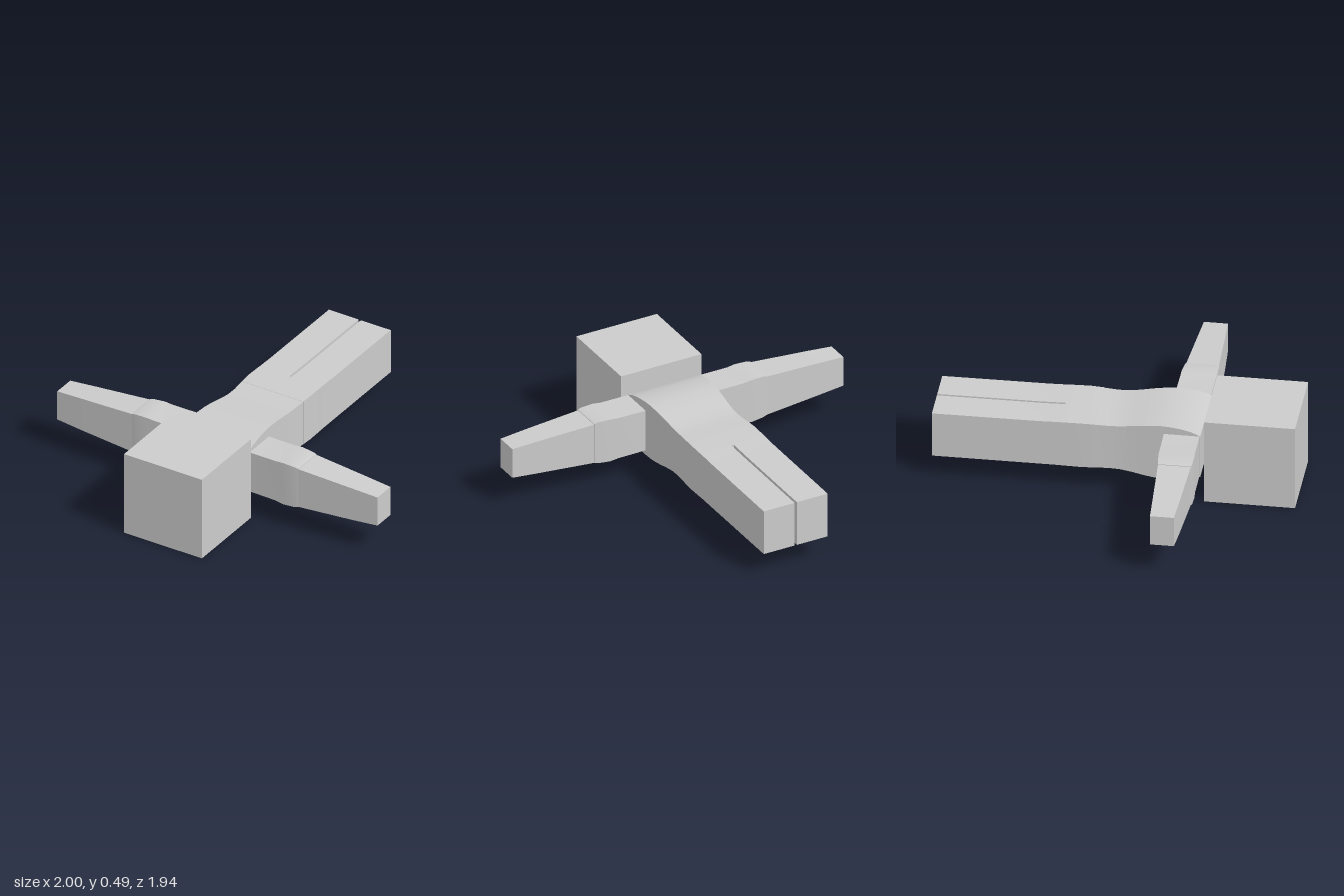
import * as THREE from 'three';
import { toCreasedNormals } from 'three/addons/utils/BufferGeometryUtils.js';

const material = new THREE.MeshStandardMaterial({ color: 0xcccccc });

// Closed loft of rectangles: rows are [w, u0, u1, v0, v1] with w increasing.
// axis 'z' maps (u,v,w) to (x,y,z); axis 'x' maps (u,v,w) to (y,z,x).
function loft(axis, rows) {
  const pos = [], idx = [];
  for (const [w, u0, u1, v0, v1] of rows)
    for (const [u, v] of [[u0, v0], [u1, v0], [u1, v1], [u0, v1]])
      pos.push(...(axis === 'z' ? [u, v, w] : [w, u, v]));
  for (let i = 0; i < rows.length - 1; i++)
    for (let k = 0; k < 4; k++) {
      const a = i * 4 + k, b = i * 4 + (k + 1) % 4;
      idx.push(a, b, b + 4, a, b + 4, a + 4);
    }
  const e = (rows.length - 1) * 4;
  idx.push(0, 2, 1, 0, 3, 2, e, e + 1, e + 2, e, e + 2, e + 3);
  const g = new THREE.BufferGeometry();
  g.setAttribute('position', new THREE.Float32BufferAttribute(pos, 3));
  g.setIndex(idx);
  return toCreasedNormals(g, 0.6);
}

function add(parent, name, geometry) {
  const mesh = new THREE.Mesh(geometry, material);
  mesh.name = name;
  parent.add(mesh);
  return mesh;
}

// Box from its two opposite corners
function box(parent, name, [x0, y0, z0], [x1, y1, z1]) {
  const mesh = add(parent, name, new THREE.BoxGeometry(x1 - x0, y1 - y0, z1 - z0));
  mesh.position.set((x0 + x1) / 2, (y0 + y1) / 2, (z0 + z1) / 2);
}

// Mirror an x-axis loft to the other side
const mirrorRows = (rows) => rows.map(([x, ...r]) => [-x, ...r]).reverse();

export function createModel() {
  const model = new THREE.Group();

  // Cube head with two shallow eye panels on its downward face
  box(model, 'head', [-0.243, 0.003, 0.487], [0.243, 0.49, 0.972]);

  // Torso: z, half width, bottom, top
  const torso = [
    [-0.11, 0.191, 0.13, 0.394], [-0.03, 0.187, 0.131, 0.39], [0.03, 0.186, 0.128, 0.392],
    [0.09, 0.188, 0.119, 0.4], [0.15, 0.192, 0.108, 0.41], [0.2, 0.196, 0.101, 0.416],
    [0.25, 0.199, 0.098, 0.42], [0.3, 0.203, 0.1, 0.42], [0.35, 0.206, 0.106, 0.415],
    [0.4, 0.209, 0.115, 0.406], [0.435, 0.211, 0.124, 0.395], [0.462, 0.213, 0.133, 0.383],
  ];
  add(model, 'torso', loft('z', torso.map(([z, h, b, t]) => [z, -h, h, b, t])));

  // Hips and belt buckle
  add(model, 'hips', loft('z', [
    [-0.287, -0.194, 0.194, 0.13, 0.395],
    [-0.18, -0.195, 0.195, 0.129, 0.397],
    [-0.11, -0.192, 0.192, 0.13, 0.395],
  ]));
  box(model, 'beltBuckle', [-0.035, 0.119, -0.18], [0.035, 0.135, -0.108]);

  // Arm sections: x, bottom, top, back, front
  const armParts = {
    Sleeve: [[0.216, 0.143, 0.384, 0.268, 0.459], [0.38, 0.14, 0.384, 0.27, 0.459],
      [0.43, 0.134, 0.389, 0.271, 0.462], [0.5, 0.139, 0.386, 0.278, 0.461], [0.52, 0.145, 0.381, 0.28, 0.458]],
    Forearm: [[0.5, 0.144, 0.379, 0.28, 0.457], [0.845, 0.165, 0.36, 0.299, 0.443]],
    Hand: [[0.845, 0.165, 0.36, 0.299, 0.443], [1, 0.176, 0.35, 0.307, 0.435]],
  };

  for (const [side, s] of [['left', 1], ['right', -1]]) {
    for (const [part, rows] of Object.entries(armParts))
      add(model, side + part, loft('x', s > 0 ? rows : mirrorRows(rows)));

    // Leg, separated from its twin by a narrow slit
    const inner = 0.007, outer = 0.193;
    const xs = s > 0 ? [inner, outer] : [-outer, -inner];
    add(model, side + 'Leg', loft('z', [
      [-0.972, ...xs, 0.13, 0.39], [-0.4, ...xs, 0.13, 0.392], [-0.287, ...xs, 0.13, 0.395],
    ]));

    const ex = s * 0.11;
    box(model, side + 'Eye', [ex - 0.06, 0, 0.73], [ex + 0.06, 0.01, 0.84]);
  }
  return model;
}
